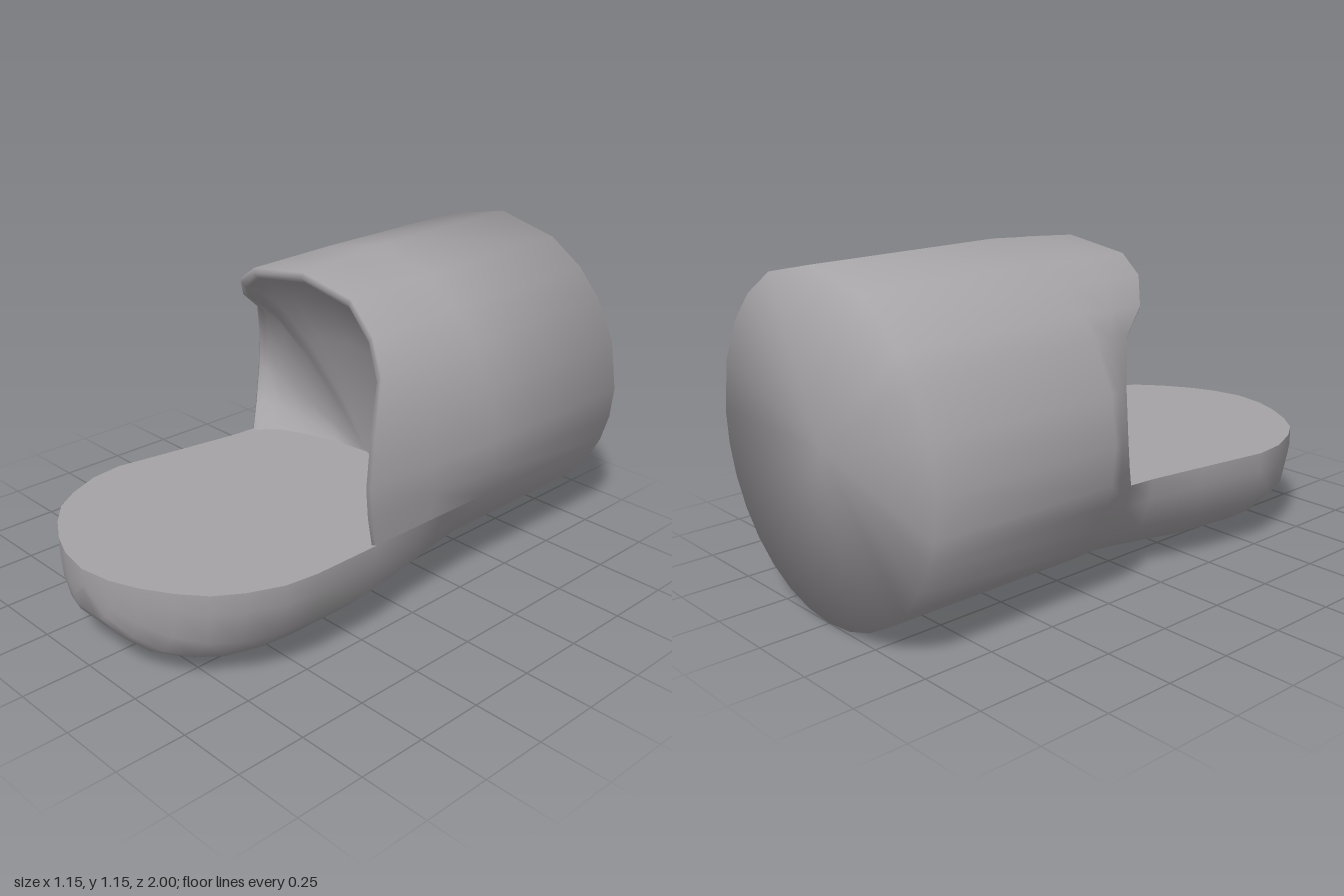
import * as THREE from 'three';
import { mergeGeometries, mergeVertices } from 'three/addons/utils/BufferGeometryUtils.js';

const R = 0.575, FLOOR = 0.36;                 // tube radius (and centre height), floor height
const A0 = Math.asin((FLOOR - R) / R);         // angle where the tube meets the floor line
const lerp = THREE.MathUtils.lerp;

// Surface through rows of [x, y, z] points
function grid(rows) {
  const n = rows[0].length, index = [];
  for (let i = 0; i < rows.length - 1; i++) {
    for (let j = 0; j < n - 1; j++) {
      const a = i * n + j, b = a + 1, c = b + n, d = a + n;
      index.push(a, b, c, a, c, d);
    }
  }
  const g = new THREE.BufferGeometry();
  g.setAttribute('position', new THREE.Float32BufferAttribute(rows.flat(2), 3));
  g.setIndex(index);
  return g;
}

// Opening rim, from the floor on the left side over the top to the other side
const RIM = [
  [0.53, 0.36, 0.22], [0.535, 0.47, 0.245], [0.535, 0.58, 0.255], [0.515, 0.75, 0.22],
  [0.46, 0.9, 0.14], [0.37, 1.0, 0.09], [0.24, 1.09, 0.06], [0, 1.125, 0.05],
  [-0.24, 1.09, 0.06], [-0.33, 1.03, 0.045], [-0.41, 0.95, -0.03], [-0.45, 0.87, -0.13],
  [-0.52, 0.72, -0.2], [-0.55, 0.57, -0.22], [-0.51, 0.45, -0.17], [-0.45, 0.36, -0.1],
];

// Hood: back cap, tube, rounded lip and hollow inside, as one sheet
function hoodRows() {
  const last = RIM.length - 1;
  const angle = (p, j) => j === 0 ? A0 : j === last ? Math.PI - A0 : Math.atan2(p[1] - R, p[0]);
  const ring = z => RIM.map((p, j) => {
    const a = angle(p, j);
    return [R * Math.cos(a), R + R * Math.sin(a), z];
  });
  const neck = ring(-0.3);
  const mid = RIM.map((p, j) => p.map((v, k) => lerp(neck[j][k], v, 0.5)));
  // Move the rim towards a point at the back of the hollow
  const inner = (t, f) => RIM.map(([x, y, z]) =>
    [lerp(x, 0, t), lerp(y, FLOOR, t), lerp(z, -0.27, f)]);
  const lip = RIM.map(([x, y, z]) => [x * 0.975, lerp(y, FLOOR, 0.022), z + 0.008]);
  return [
    RIM.map(() => [0, R, -1]), ring(-1), neck, mid, RIM, lip,
    inner(0.05, 0.03), inner(0.08, 0.16), inner(0.18, 0.42),
    inner(0.4, 0.68), inner(0.7, 0.9), inner(1, 1),
  ];
}

// Sole: sections change from the round tube to a flat-bottomed pan with a bowl toe
const PAN = [[1, 0], [1, 0.22], [0.94, 0.6], [0.77, 0.88], [0.55, 1], [0.28, 1], [0, 1]];
const EDGE = R * Math.cos(A0);
// z, -x half width, +x half width, bottom height, share of pan shape
const SECTIONS = [
  [-1, EDGE, EDGE, 0, 0], [-0.3, EDGE, EDGE, 0, 0], [-0.1, 0.45, 0.532, 0.018, 0.4],
  [0, 0.457, 0.531, 0.027, 0.6], [0.22, 0.49, 0.53, 0.045, 1], [0.48, 0.53, 0.53, 0.045, 1],
  [0.6, 0.515, 0.515, 0.045, 1], [0.72, 0.465, 0.465, 0.045, 1], [0.81, 0.405, 0.405, 0.06, 1],
  [0.88, 0.32, 0.32, 0.085, 1], [0.94, 0.22, 0.22, 0.135, 1], [0.98, 0.12, 0.12, 0.195, 1],
  [1, 0, 0, 0.29, 1],
];

function soleRows() {
  const section = ([z, wl, wr, bottom, k]) => {
    const half = PAN.map(([px, pd], i) => {
      const a = lerp(A0, -Math.PI / 2, i / (PAN.length - 1));
      const cx = R * Math.cos(a) / EDGE, cd = (FLOOR - R - R * Math.sin(a)) / FLOOR;
      return [lerp(cx, px, k), FLOOR - (FLOOR - bottom) * lerp(cd, pd, k)];
    });
    return [
      ...half.map(([x, y]) => [-x * wl, y, z]),
      ...half.slice(0, -1).reverse().map(([x, y]) => [x * wr, y, z]),
    ];
  };
  const rows = SECTIONS.map(section);
  return [rows[0].map(() => [0, R, -1]), ...rows];
}

export function createModel() {
  const group = new THREE.Group();
  const grey = new THREE.MeshStandardMaterial({ color: 0xa6a3a6, side: THREE.DoubleSide });
  grey.name = 'warm grey';

  // Hood and sole share smooth normals
  const sole = soleRows();
  const body = mergeVertices(mergeGeometries([grid(hoodRows()), grid(sole)]), 1e-4);
  body.computeVertexNormals();
  const shell = new THREE.Mesh(body, grey);
  shell.name = 'shell';

  // Flat floor between the top edges of the sole
  const floorGeo = grid(sole.slice(2).map(r => [r[r.length - 1], r[0]]));
  floorGeo.computeVertexNormals();
  const floor = new THREE.Mesh(floorGeo, grey);
  floor.name = 'floor';

  group.add(shell, floor);
  return group;
}
